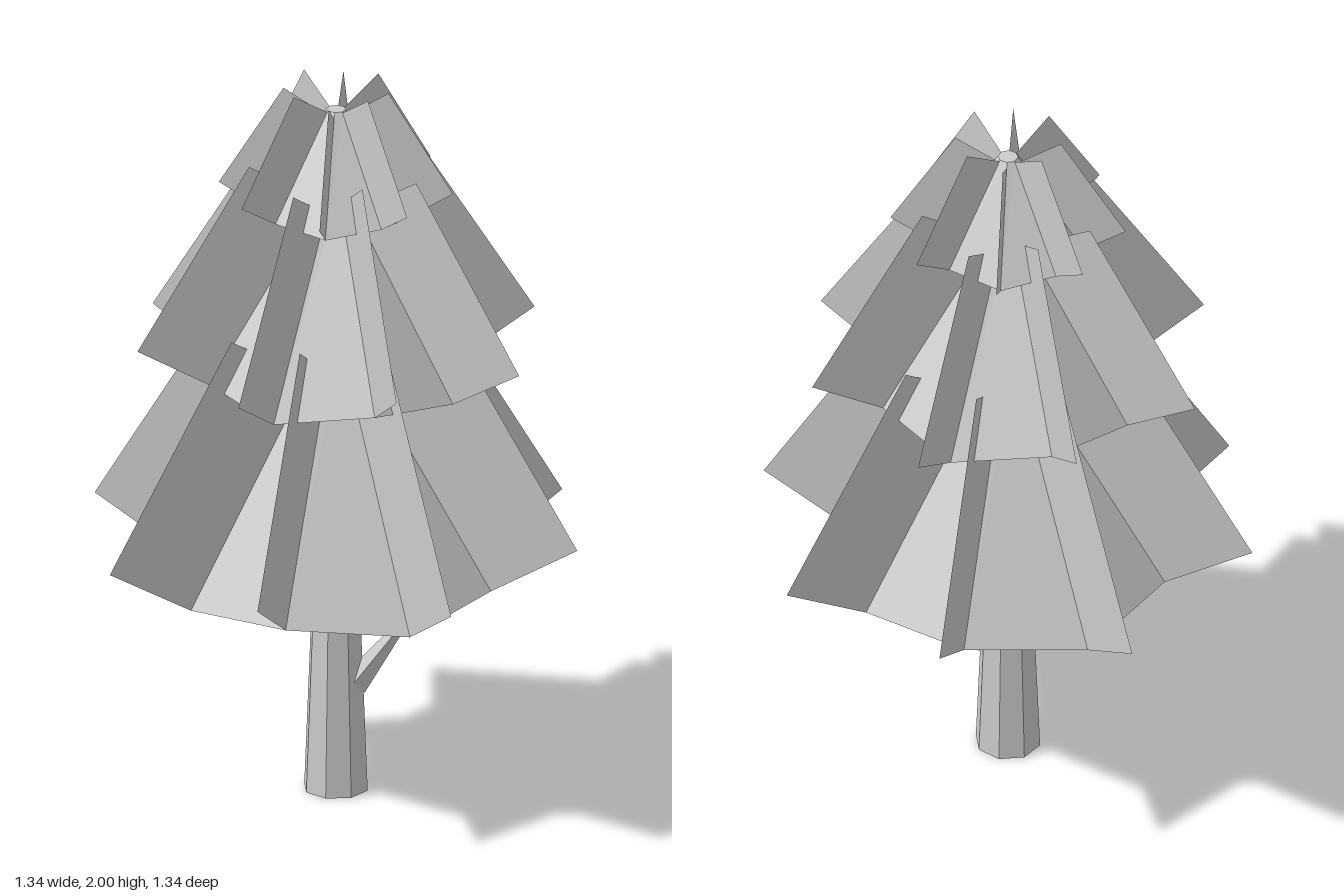
import * as THREE from 'three';

const material = new THREE.MeshStandardMaterial({ color: 0xcccccc, flatShading: true });
const cardMaterial = new THREE.MeshStandardMaterial({ color: 0xcccccc, flatShading: true, side: THREE.DoubleSide });
const STEP = Math.PI / 4;

// Each tier: eight corners whose rim heights alternate (even, odd), a narrow flat tip,
// and a rectangular card standing out from every corner ridge.
const TIERS = [
  { name: 'lowerTier', turn: 0, radius: 0.43, rim: [0.61, 0.58], topY: 1.28, out: [0.24, 0.145], up: [-0.36, 0.597] },
  { name: 'middleTier', turn: 10, radius: 0.35, rim: [1.155, 1.185], topY: 1.7, out: [0.198, 0.118], up: [-0.308, 0.49] },
  { name: 'upperTier', turn: -10, radius: 0.2, rim: [1.635, 1.65], topY: 1.93, out: [0.112, 0.07], up: [-0.172, 0.277] },
];

function tierCone({ radius, rim, topY }) {
  const mid = (rim[0] + rim[1]) / 2;
  const geometry = new THREE.CylinderGeometry(0.027, radius, topY - mid, 8, 1);
  geometry.translate(0, (topY + mid) / 2, 0);
  const p = geometry.attributes.position;
  // Zigzag the rim
  for (let i = 0; i < p.count; i++) {
    const r = Math.hypot(p.getX(i), p.getZ(i));
    if (r < radius * 0.9) continue;
    const corner = Math.round(Math.atan2(p.getZ(i), p.getX(i)) / STEP);
    p.setY(i, rim[Math.abs(corner) % 2]);
  }
  geometry.computeVertexNormals();
  return geometry;
}

function cardGeometry({ radius, rim, out, up }, parity) {
  const x = radius, y = rim[parity];
  return new THREE.ShapeGeometry(new THREE.Shape([
    new THREE.Vector2(x, y),
    new THREE.Vector2(x + out[0], y + out[1]),
    new THREE.Vector2(x + out[0] + up[0], y + out[1] + up[1]),
    new THREE.Vector2(x + up[0], y + up[1]),
  ]));
}

function addMesh(parent, name, geometry, mat = material) {
  const mesh = new THREE.Mesh(geometry, mat);
  mesh.name = name;
  parent.add(mesh);
  return mesh;
}

// Tapered four-sided branch leaning outward, turned about the trunk
function addBranch(parent, name, degrees, start, end, r0, r1) {
  const dx = end[0] - start[0], dy = end[1] - start[1];
  const geometry = new THREE.CylinderGeometry(r1, r0, Math.hypot(dx, dy), 4);
  geometry.rotateZ(-Math.atan2(dx, dy));
  geometry.translate((start[0] + end[0]) / 2, (start[1] + end[1]) / 2, 0);
  addMesh(parent, name, geometry).rotation.y = -THREE.MathUtils.degToRad(degrees);
}

export function createModel() {
  const tree = new THREE.Group();
  tree.name = 'tree';

  // Trunk, ending inside the lowest tier
  const trunk = new THREE.CylinderGeometry(0.06, 0.088, 0.7, 8);
  trunk.translate(0, 0.35, 0);
  addMesh(tree, 'trunk', trunk);

  // One low branch, and short ones tucked under the foliage
  addBranch(tree, 'lowBranch', 0, [0.05, 0.3], [0.187, 0.49], 0.037, 0.012);
  [100, 225, 315].forEach((degrees) =>
    addBranch(tree, 'hiddenBranch', degrees, [0.04, 0.57], [0.2, 0.64], 0.03, 0.012));

  // Foliage
  for (const tier of TIERS) {
    const group = new THREE.Group();
    group.name = tier.name;
    group.rotation.y = -THREE.MathUtils.degToRad(tier.turn);
    addMesh(group, 'foliageCone', tierCone(tier));
    const cards = [cardGeometry(tier, 0), cardGeometry(tier, 1)];
    for (let i = 0; i < 8; i++) {
      addMesh(group, 'foliageCard', cards[i % 2], cardMaterial).rotation.y = -i * STEP;
    }
    tree.add(group);
  }
  return tree;
}
